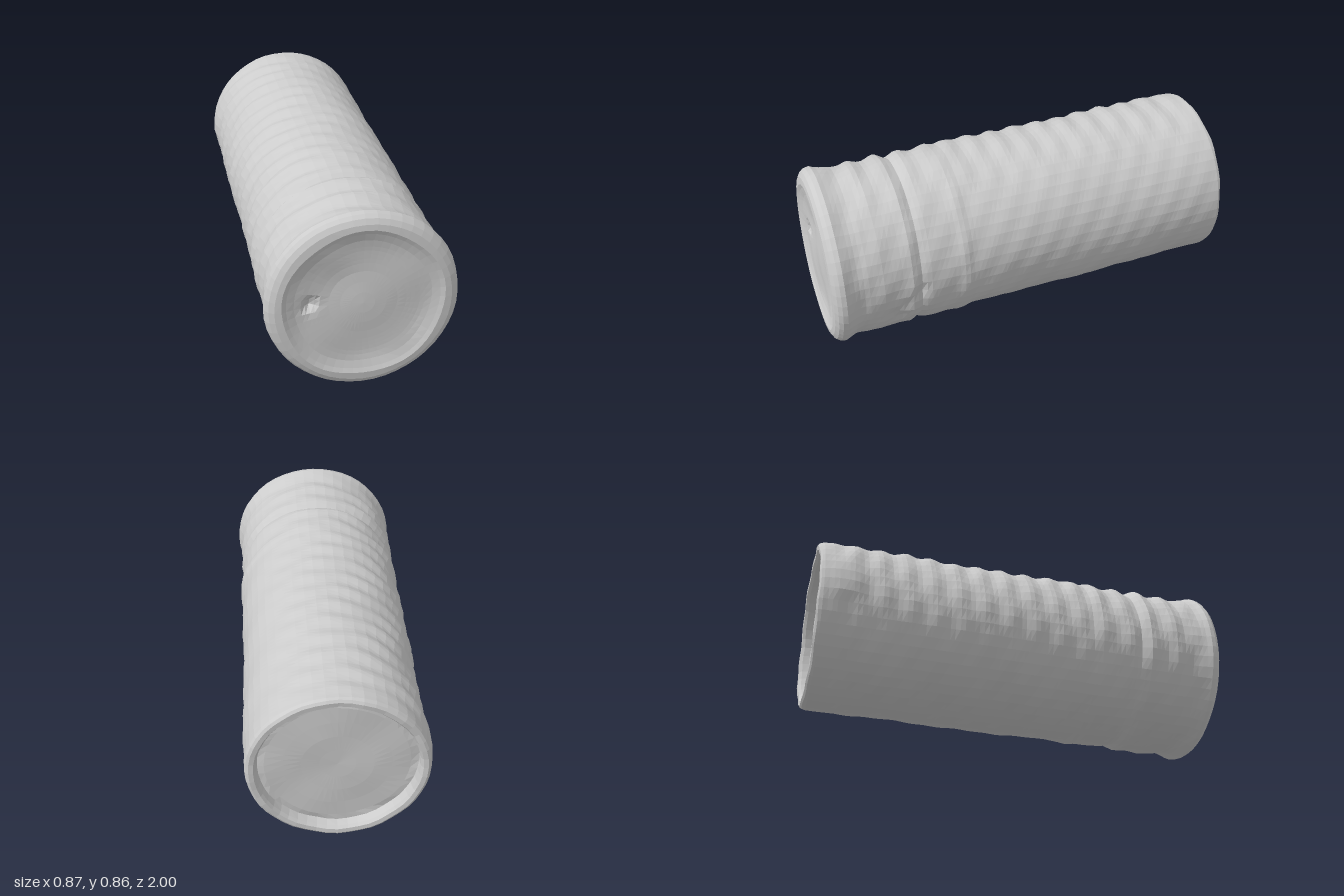
import * as THREE from 'three';

const bump = (d, w) => Math.exp(-(d * d) / (w * w));

// distance from a point to a segment in the (z, y) plane
function segDist(z, y, [az, ay], [bz, by]) {
  const dz = bz - az, dy = by - ay;
  const t = THREE.MathUtils.clamp(((z - az) * dz + (y - ay) * dy) / (dz * dz + dy * dy), 0, 1);
  return Math.hypot(z - az - t * dz, y - ay - t * dy);
}

// gentle irregular waviness of the worn skin
const wobble = (a, z) =>
  Math.sin(3 * a + 7 * z) * 0.4 + Math.sin(5 * a - 17 * z + 1) * 0.35 + Math.sin(11 * a + 41 * z + 2) * 0.25;

// profile as (radius, position along the length), turned about the length axis
function lathe(points, segments) {
  const g = new THREE.LatheGeometry(points.map(([r, z]) => new THREE.Vector2(r, z)), segments);
  return g.rotateX(Math.PI / 2);
}

// move each vertex by a rule, then lay the whole drum along its slightly sloping axis
function shape(g, rule) {
  const p = g.attributes.position;
  const v = new THREE.Vector3();
  for (let i = 0; i < p.count; i++) {
    v.fromBufferAttribute(p, i);
    rule(v);
    p.setXYZ(i, v.x + 0.012 * v.z - 0.002, v.y + 0.447 - 0.016 * v.z, v.z);
  }
  g.computeVertexNormals();
  return g;
}

function wallRule(v) {
  const r = Math.hypot(v.x, v.y);
  if (r < 1e-6) return;
  const a = Math.atan2(v.y, v.x);
  const inside = THREE.MathUtils.smoothstep(1 - Math.abs(v.z), 0.0, 0.15);
  let d = 0.0045 * wobble(a, v.z) * (0.35 + inside);
  // wrinkles around the upper left of the skin
  const side = Math.max(0, Math.cos(a - 2.4));
  d += side * inside * 0.006 * Math.sin(v.z * 52 + Math.sin(a * 3));
  d += 0.018 * bump(v.z + 0.88, 0.05) * bump(a - 2.95, 0.4);
  // forked crease on one flank
  if (v.x > 0) {
    const y = v.y + 0.437;
    const c = Math.min(segDist(v.z, y, [0.73, 0.26], [0.56, 0.17]), segDist(v.z, y, [0.73, 0.26], [0.58, 0.39]));
    d -= 0.012 * bump(c, 0.025);
  }
  const k = (r + d) / r;
  v.x *= k;
  v.y *= k;
}

function frontRule(v) {
  const r = Math.hypot(v.x, v.y);
  const a = Math.atan2(v.y, v.x);
  const fade = 1 - THREE.MathUtils.smoothstep(r, 0.27, 0.36);
  v.z += fade * 0.005 * Math.sin(v.x * 17 + 1) * Math.cos(v.y * 15 + v.x * 6);
  // plug hole and shallow dent
  v.z -= 0.04 * bump(Math.hypot(v.x + 0.23, v.y - 0.01), 0.026);
  v.z -= 0.01 * bump(Math.hypot(v.x + 0.1, v.y - 0.12), 0.09);
  if (r > 0.36) wallRule(v);
  else if (r > 0.28) {
    const k = 1 + 0.012 * Math.sin(5 * a);
    v.x *= k;
    v.y *= k;
  }
}

function backRule(v) {
  const r = Math.hypot(v.x, v.y);
  const a = Math.atan2(v.y, v.x);
  if (r > 0.33) {
    v.z += 0.004 * (1 + Math.sin(9 * a) * Math.sin(4 * a + 1));
    wallRule(v);
  } else v.z += 0.004 * Math.sin(v.x * 14) * Math.cos(v.y * 16 + 1);
}

export function createModel() {
  const group = new THREE.Group();
  const material = new THREE.MeshStandardMaterial({ color: 0xcccccc, flatShading: true });
  const add = (name, geometry) => {
    const mesh = new THREE.Mesh(geometry, material);
    mesh.name = name;
    group.add(mesh);
  };

  // long wall with rolled hoops and a flared front lip
  const wall = [];
  const steps = 84;
  for (let i = 0; i <= steps; i++) {
    const z = -0.975 + (1.915 * i) / steps;
    let r = 0.406;
    r += 0.008 * bump(z - 0.36, 0.03);
    r += 0.006 * bump(z - 0.62, 0.025) - 0.011 * bump(z - 0.575, 0.022);
    r += 0.004 * bump(z - 0.76, 0.03) - 0.005 * bump(z - 0.86, 0.02);
    r += 0.021 * bump(z - 0.945, 0.035);
    wall.push([r, z]);
  }
  add('drumWall', shape(lathe(wall, 48), wallRule));

  // front lid: rounded shoulder and shallow dished face
  const front = [
    wall[steps], [0.421, 0.962], [0.408, 0.98], [0.385, 0.993], [0.355, 0.997], [0.335, 0.988],
    [0.3, 0.978], [0.27, 0.975], [0.25, 0.974], [0.23, 0.974], [0.21, 0.974], [0.19, 0.974],
    [0.15, 0.974], [0.1, 0.975], [0.05, 0.975], [0, 0.975],
  ];
  add('frontLid', shape(lathe(front, 48), frontRule));

  // back end: raised rim around a recessed floor
  const back = [
    [0, -0.95], [0.08, -0.95], [0.16, -0.95], [0.24, -0.949], [0.32, -0.948], [0.35, -0.95],
    [0.357, -0.985], [0.367, -0.999], [0.388, -1.001], [0.4, -0.993], wall[0],
  ];
  add('backRim', shape(lathe(back, 48), backRule));

  return group;
}
